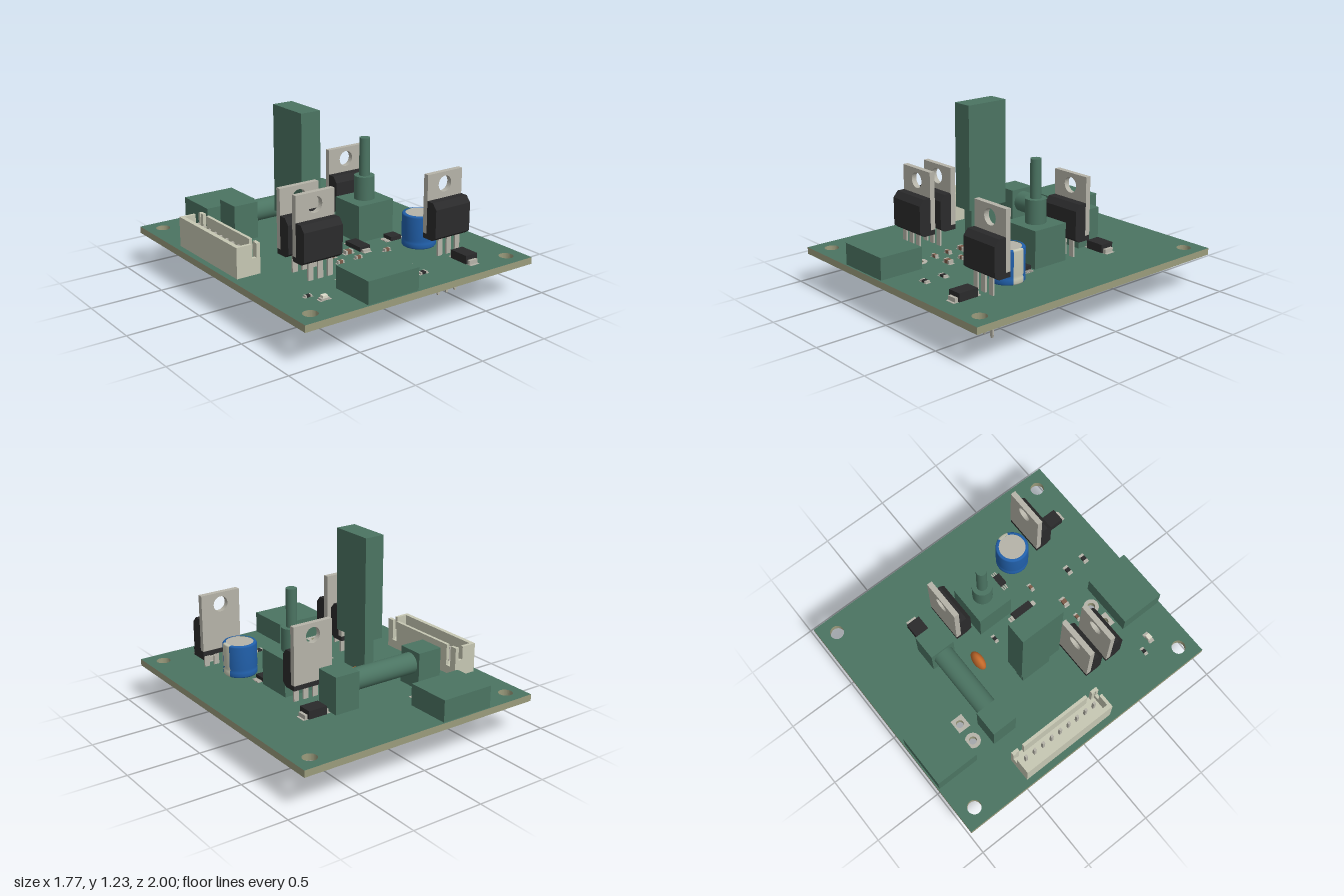
import * as THREE from 'three';

const mat = (color) => new THREE.MeshStandardMaterial({ color });
const GREEN = mat(0x4b7462), EDGE = mat(0x9a9b7c), METAL = mat(0xb5b3a8), BLACK = mat(0x2a2a2b);
const CREAM = mat(0xc6c7b3), BLUE = mat(0x2160ab), ORANGE = mat(0xc2692a), BROWN = mat(0x7b5a48), WHITE = mat(0xdedccb);
const TOP = 0.282, BOTTOM = 0.236;

function add(parent, name, geo, material, x = 0, y = 0, z = 0) {
  const m = new THREE.Mesh(geo, material);
  m.name = name;
  m.position.set(x, y, z);
  parent.add(m);
  return m;
}

// box given by its limits on each axis
function box(parent, name, material, x0, x1, y0, y1, z0, z1) {
  return add(parent, name, new THREE.BoxGeometry(x1 - x0, y1 - y0, z1 - z0), material,
    (x0 + x1) / 2, (y0 + y1) / 2, (z0 + z1) / 2);
}

function group(parent, name, x = 0, z = 0) {
  const g = new THREE.Group();
  g.name = name;
  g.position.set(x, 0, z);
  parent.add(g);
  return g;
}

const circlePath = (x, y, r) => new THREE.Path().absarc(x, y, r, 0, Math.PI * 2, true);

function rectShape(x0, x1, y0, y1) {
  return new THREE.Shape([[x0, y0], [x1, y0], [x1, y1], [x0, y1]].map((p) => new THREE.Vector2(...p)));
}

const extrude = (shape, depth) => new THREE.ExtrudeGeometry(shape, { depth, bevelEnabled: false, curveSegments: 16 });

// wire pads: x, z, square or round
const wirePads = [[-0.413, -0.62, false], [-0.27, -0.62, true], [-0.312, 0.608, true], [-0.17, 0.608, false]];

function makeBoard(root) {
  const s = rectShape(-0.886, 0.886, -1, 1);
  for (const x of [-0.77, 0.77]) for (const z of [-0.885, 0.885]) s.holes.push(circlePath(x, -z, 0.048));
  for (const [x, z] of wirePads) s.holes.push(circlePath(x, -z, 0.027));
  const geo = extrude(s, TOP - BOTTOM).rotateX(-Math.PI / 2);
  add(root, 'circuitBoard', geo, [GREEN, EDGE], 0, BOTTOM, 0);
  // copper rings on both faces
  for (const [x, z, square] of wirePads) {
    const p = square ? rectShape(-0.05, 0.05, -0.05, 0.05) : new THREE.Shape().absarc(0, 0, 0.053, 0, Math.PI * 2);
    p.holes.push(circlePath(0, 0, 0.027));
    for (const y of [TOP, BOTTOM - 0.002]) {
      add(root, 'wirePad', extrude(p, 0.002).rotateX(-Math.PI / 2), METAL, x, y, z);
    }
  }
}

// soldered ring under the board
function solderPad(parent, x, z, r = 0.026) {
  add(parent, 'solderPad', new THREE.CylinderGeometry(r, r, 0.003, 16), METAL, x, BOTTOM - 0.001, z);
}

// upright power package: z = 0 is the back of its metal tab
function powerPackage(root, name, x, z) {
  const g = group(root, name, x, z);
  const w = 0.288;
  const profile = new THREE.Shape([[0.002, 0.396], [0.092, 0.396], [0.124, 0.42], [0.124, 0.61], [0.09, 0.65],
    [0.037, 0.65], [0.037, 0.43], [0.002, 0.43]].map((p) => new THREE.Vector2(...p)));
  add(g, 'packageBody', extrude(profile, w).rotateY(-Math.PI / 2), BLACK, w / 2, 0, 0);
  const tab = rectShape(-w / 2, w / 2, 0.43, 0.823);
  tab.holes.push(circlePath(0, 0.742, 0.053));
  add(g, 'metalTab', extrude(tab, 0.037), METAL);
  const lead = new THREE.Shape([[-0.019, 0.4], [-0.019, 0.27], [-0.012, 0.25], [-0.012, 0.02], [-0.005, 0],
    [0.005, 0], [0.012, 0.02], [0.012, 0.25], [0.019, 0.27], [0.019, 0.4]].map((p) => new THREE.Vector2(...p)));
  for (const i of [-1, 0, 1]) {
    add(g, 'lead', extrude(lead, 0.013), METAL, i * 0.0726, 0.006, 0.08);
    solderPad(g, i * 0.0726, 0.087);
  }
}

// small part with metal ends, lying along x unless turned
function chip(root, name, x, z, len, wid, h, material, turned = false) {
  const g = group(root, name, x, z);
  if (turned) g.rotation.y = Math.PI / 2;
  const e = len * 0.22;
  box(g, 'chipBody', material, -len / 2 + e, len / 2 - e, TOP, TOP + h * 0.97, -wid / 2 + 0.001, wid / 2 - 0.001);
  for (const s of [-1, 1]) {
    add(g, 'endCap', new THREE.BoxGeometry(e, h, wid), METAL, s * (len - e) / 2, TOP + h / 2, 0);
    add(g, 'pad', new THREE.BoxGeometry(e * 1.6, 0.003, wid * 1.15), METAL, s * len / 2, TOP + 0.001, 0);
  }
}

// moulded diode or large resistor with flat end tabs
function moulded(root, name, x, z, len, wid, h, turned) {
  const g = group(root, name, x, z);
  if (turned) g.rotation.y = Math.PI / 2;
  box(g, 'mouldedBody', BLACK, -len / 2, len / 2, TOP + 0.004, TOP + h, -wid / 2, wid / 2);
  for (const s of [-1, 1]) {
    add(g, 'endTab', new THREE.BoxGeometry(0.04, h * 0.5, wid * 0.7), METAL, s * len / 2, TOP + h * 0.25, 0);
    add(g, 'pad', new THREE.BoxGeometry(0.06, 0.003, wid * 0.75), METAL, s * (len / 2 + 0.005), TOP + 0.001, 0);
  }
}

function makeHeader(root) {
  const g = group(root, 'mainHeader', -0.758, -0.147);
  const L = 0.356, x0 = -0.085, x1 = 0.085, t = 0.022, y1 = 0.486;
  box(g, 'headerFloor', CREAM, x0, x1, TOP, 0.34, -L, L);
  box(g, 'longWall', CREAM, x0, x0 + t + 0.008, 0.34, y1, -L, L);
  // slotted wall
  box(g, 'slottedWallMiddle', CREAM, x1 - t, x1, 0.34, y1, -L + 0.09, L - 0.09);
  for (const s of [-1, 1]) {
    add(g, 'slottedWallEnd', new THREE.BoxGeometry(t, y1 - 0.34, 0.05), CREAM, x1 - t / 2, (y1 + 0.34) / 2, s * (L - 0.025));
    // end wall with a notch
    const end = new THREE.Shape([[x0, 0.34], [x1, 0.34], [x1, y1], [0.058, y1], [0.058, 0.393], [0.024, 0.393],
      [0.024, y1], [x0, y1]].map((p) => new THREE.Vector2(...p)));
    add(g, 'endWall', extrude(end, t), CREAM, 0, 0, s > 0 ? L - t : -L);
  }
  for (let i = -4; i <= 4; i++) {
    const z = i * 0.0717;
    box(g, 'headerPin', METAL, 0.006, 0.024, 0.205, 0.44, z - 0.009, z + 0.009);
    const tip = add(g, 'pinTip', new THREE.CylinderGeometry(0.0127, 0.006, 0.017, 4).rotateY(Math.PI / 4), METAL, 0.015, 0.197, z);
    tip.material = METAL;
    solderPad(g, 0.015, z, 0.024);
  }
}

function makeCapacitors(root) {
  // electrolytic can with a groove and a pale stripe
  const g = group(root, 'bulkCapacitor', 0.447, 0.396);
  const pts = [[0.09, 0.285], [0.108, 0.287], [0.114, 0.296], [0.114, 0.325], [0.106, 0.336], [0.114, 0.347],
    [0.114, 0.5], [0.108, 0.508], [0.092, 0.51]].map((p) => new THREE.Vector2(...p));
  const a = 0.36;
  add(g, 'sleeve', new THREE.LatheGeometry(pts, 40, Math.PI / 2 + a, Math.PI * 2 - 2 * a), BLUE);
  add(g, 'stripe', new THREE.LatheGeometry(pts, 8, Math.PI / 2 - a, 2 * a), CREAM);
  add(g, 'canTop', new THREE.CylinderGeometry(0.093, 0.093, 0.22, 40), METAL, 0, 0.396, 0);
  for (const s of [-1, 1]) {
    add(g, 'canLead', new THREE.CylinderGeometry(0.009, 0.009, 0.1, 10), METAL, s * 0.05, 0.27, 0);
    solderPad(g, s * 0.05, 0);
  }
  // ceramic disc on two legs
  const d = group(root, 'discCapacitor', -0.016, -0.262);
  const disc = add(d, 'disc', new THREE.SphereGeometry(1, 28, 18), ORANGE, 0, 0.362, 0);
  disc.scale.set(0.072, 0.072, 0.036);
  for (const s of [-1, 1]) {
    add(d, 'discLead', new THREE.CylinderGeometry(0.008, 0.008, 0.13, 10), METAL, s * 0.07 / 2, 0.28, 0);
    solderPad(d, s * 0.07 / 2, 0);
  }
}

export function createModel() {
  const root = new THREE.Group();
  root.name = 'powerBoard';
  makeBoard(root);

  // wire terminal blocks
  box(root, 'batteryTerminal', GREEN, -0.534, -0.153, TOP, 0.43, -0.99, -0.678);
  box(root, 'lightTerminal', GREEN, -0.434, -0.053, TOP, 0.43, 0.672, 0.988);

  // fuse in two holders
  box(root, 'fuseHolder', GREEN, -0.52, -0.34, TOP, 0.535, -0.524, -0.342);
  box(root, 'fuseHolder', GREEN, 0.143, 0.322, TOP, 0.535, -0.524, -0.342);
  add(root, 'fuse', new THREE.CylinderGeometry(0.072, 0.072, 0.5, 32).rotateZ(Math.PI / 2), GREEN, -0.098, 0.442, -0.433);

  // tall converter module on its socket
  box(root, 'converterSocket', GREEN, -0.297, -0.224, TOP, 0.53, -0.1, 0.126);
  box(root, 'converterModule', GREEN, -0.332, -0.189, 0.527, 1.24, -0.144, 0.17);

  // toggle switch
  const sw = group(root, 'toggleSwitch', 0.285, 0.013);
  box(sw, 'switchBody', GREEN, -0.143, 0.143, TOP, 0.537, -0.132, 0.132);
  add(sw, 'bushing', new THREE.CylinderGeometry(0.069, 0.069, 0.163, 32), GREEN, 0, 0.617, 0);
  add(sw, 'lever', new THREE.CylinderGeometry(0.036, 0.036, 0.26, 24), GREEN, 0, 0.828, 0);

  powerPackage(root, 'backTransistor', 0.328, -0.289);
  powerPackage(root, 'frontTransistor', 0.5, 0.54);
  powerPackage(root, 'regulatorRear', -0.415, 0.226);
  powerPackage(root, 'regulatorFront', -0.415, 0.396);

  makeHeader(root);
  makeCapacitors(root);

  moulded(root, 'backDiode', 0.428, -0.434, 0.135, 0.1, 0.06, false);
  moulded(root, 'frontDiode', 0.498, 0.782, 0.14, 0.095, 0.06, true);
  moulded(root, 'shuntResistor', 0.085, 0.208, 0.155, 0.085, 0.034, true);

  // small capacitors and resistors
  for (const [x, z] of [[-0.17, 0.255], [-0.03, 0.255], [-0.03, 0.48]]) chip(root, 'chipCapacitor', x, z, 0.058, 0.036, 0.026, BROWN);
  for (const [x, z] of [[-0.175, 0.367], [-0.032, 0.367], [0.2, 0.367], [-0.17, 0.48]]) chip(root, 'chipCapacitor', x, z, 0.046, 0.024, 0.022, BROWN);
  for (const [x, z] of [[0.058, -0.063], [-0.646, 0.68]]) chip(root, 'chipResistor', x, z, 0.046, 0.024, 0.014, BLACK);
  for (const [x, z] of [[0.14, 0.653], [0.14, 0.797]]) chip(root, 'chipResistor', x, z, 0.055, 0.034, 0.014, BLACK);
  chip(root, 'indicatorLamp', -0.59, 0.768, 0.06, 0.036, 0.014, METAL);
  add(root, 'lampLens', new THREE.BoxGeometry(0.036, 0.02, 0.032), WHITE, -0.59, TOP + 0.02, 0.768);

  // current sensor chip
  const ic = group(root, 'sensorChip', 0.373, 0.21);
  box(ic, 'chipBody', BLACK, -0.042, 0.042, TOP + 0.004, TOP + 0.032, -0.042, 0.042);
  for (const s of [-1, 1]) for (let i = -2; i <= 2; i++) {
    add(ic, 'foot', new THREE.BoxGeometry(0.036, 0.008, 0.008), METAL, s * 0.056, TOP + 0.004, i * 0.0145);
  }
  return root;
}
